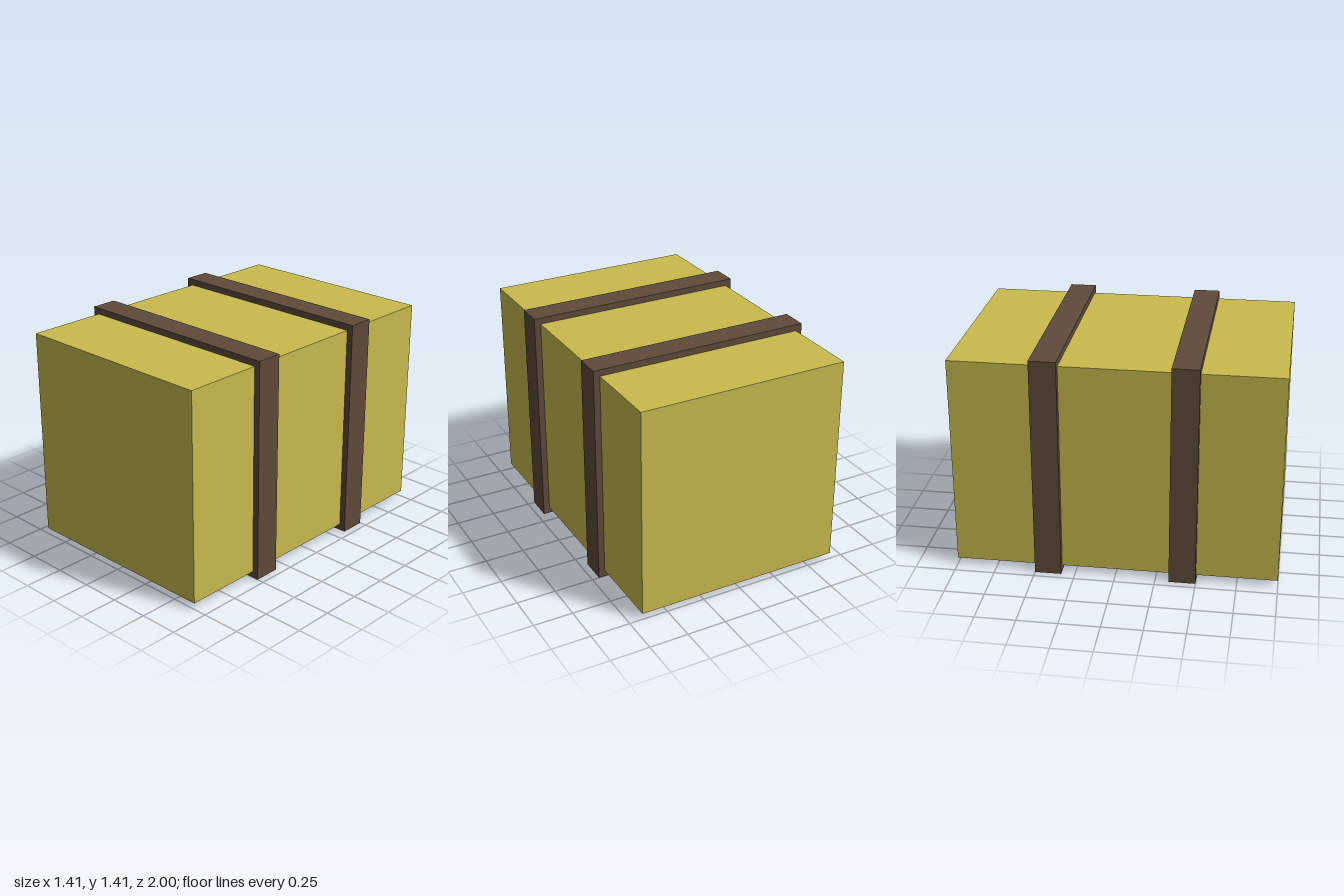
import * as THREE from 'three';

const WIDTH = 1.33, LENGTH = 2, STRAP_OUTER = 1.41, STRAP_WIDTH = 0.165;
const CENTRE_Y = STRAP_OUTER / 2;

// Closed square outline of a given side length, centred on the origin
function square(side, Type) {
  const h = side / 2;
  return new Type([
    new THREE.Vector2(-h, -h), new THREE.Vector2(h, -h),
    new THREE.Vector2(h, h), new THREE.Vector2(-h, h),
  ]);
}

export function createModel() {
  const model = new THREE.Group();
  model.name = 'strappedBale';

  const straw = new THREE.MeshStandardMaterial({ color: 0xc9bb4e, flatShading: true });
  const leather = new THREE.MeshStandardMaterial({ color: 0x5f4b3a, flatShading: true });

  // Square bale
  const bale = new THREE.Mesh(new THREE.BoxGeometry(WIDTH, WIDTH, LENGTH), straw);
  bale.name = 'bale';
  bale.position.y = CENTRE_Y;
  model.add(bale);

  // Two straps wrapped around the bale
  const outline = square(STRAP_OUTER, THREE.Shape);
  outline.holes.push(square(WIDTH, THREE.Path));
  const strapGeometry = new THREE.ExtrudeGeometry(outline, { depth: STRAP_WIDTH, bevelEnabled: false });
  strapGeometry.translate(0, 0, -STRAP_WIDTH / 2);

  for (const [name, z] of [['frontStrap', 0.417], ['backStrap', -0.417]]) {
    const strap = new THREE.Mesh(strapGeometry, leather);
    strap.name = name;
    strap.position.set(0, CENTRE_Y, z);
    model.add(strap);
  }

  return model;
}
